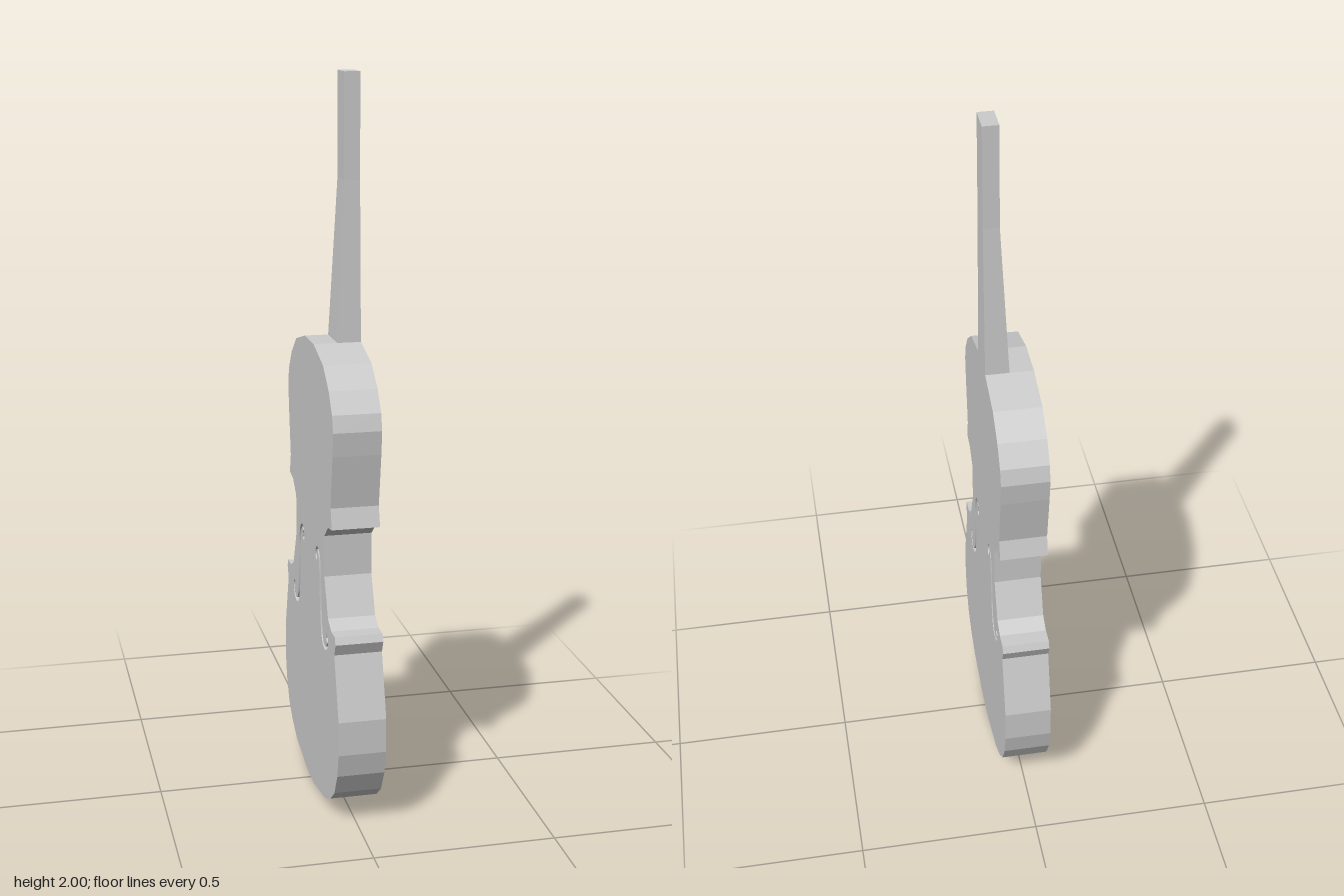
import * as THREE from 'three';

const material = new THREE.MeshStandardMaterial({ color: 0xcccccc, flatShading: true });
const HALF_DEPTH = 0.065;

// Half of the body outline as [z, y], from bottom centre to neck joint
const OUTLINE = [
  [0.055, 0.003], [0.2, 0.03], [0.267, 0.063], [0.315, 0.103], [0.35, 0.168],
  [0.365, 0.235], [0.365, 0.33], [0.313, 0.502], [0.327, 0.535], [0.318, 0.555],
  [0.275, 0.555], [0.235, 0.576], [0.19, 0.68], [0.19, 0.795], [0.235, 0.832],
  [0.282, 0.84], [0.267, 0.895], [0.29, 1.04], [0.297, 1.105], [0.285, 1.15],
  [0.245, 1.205], [0.177, 1.258], [0.057, 1.29],
];

// Sound hole centre line as [z, y, half width]
const HOLE = [
  [0.093, 0.696, 0.006], [0.086, 0.708, 0.011], [0.088, 0.725, 0.006], [0.103, 0.732, 0.004],
  [0.124, 0.717, 0.008], [0.135, 0.68, 0.011], [0.14, 0.616, 0.011], [0.148, 0.548, 0.011],
  [0.161, 0.5, 0.009], [0.182, 0.479, 0.006], [0.209, 0.481, 0.005], [0.227, 0.5, 0.006],
  [0.222, 0.516, 0.011], [0.209, 0.518, 0.008],
];

// Offsets the centre line to both sides to make one closed hole
function soundHole(side) {
  const curve = new THREE.CatmullRomCurve3(HOLE.map((p) => new THREE.Vector3(...p)));
  const left = [], right = [];
  const steps = 48;
  for (let i = 0; i <= steps; i++) {
    const p = curve.getPoint(i / steps);
    const t = curve.getTangent(i / steps);
    const k = p.z / Math.hypot(t.x, t.y);
    left.push(new THREE.Vector2(side * (p.x - t.y * k), p.y + t.x * k));
    right.push(new THREE.Vector2(side * (p.x + t.y * k), p.y - t.x * k));
  }
  return new THREE.Path([...left, ...right.reverse()]);
}

function createBody() {
  const mirrored = OUTLINE.map(([z, y]) => [-z, y]).reverse();
  const shape = new THREE.Shape([...OUTLINE, ...mirrored, [0, 0]].map((p) => new THREE.Vector2(...p)));
  shape.holes.push(soundHole(1), soundHole(-1));
  const geometry = new THREE.ExtrudeGeometry(shape, { depth: HALF_DEPTH * 2, bevelEnabled: false });
  geometry.rotateY(-Math.PI / 2).translate(HALF_DEPTH, 0, 0);
  const body = new THREE.Mesh(geometry, material);
  body.name = 'body';
  return body;
}

// Neck: a box tapered over three levels, flush with the +x face
function createNeck() {
  const levels = [
    { y: 1.29, back: 0, half: 0.057 },
    { y: 1.72, back: 0.022, half: 0.04 },
    { y: 2, back: 0.022, half: 0.038 },
  ];
  const geometry = new THREE.BoxGeometry(1, 2, 1, 1, 2, 1);
  const pos = geometry.attributes.position;
  for (let i = 0; i < pos.count; i++) {
    const level = levels[Math.round(pos.getY(i)) + 1];
    pos.setXYZ(i, pos.getX(i) > 0 ? HALF_DEPTH : level.back, level.y, Math.sign(pos.getZ(i)) * level.half);
  }
  geometry.computeVertexNormals();
  const neck = new THREE.Mesh(geometry, material);
  neck.name = 'neck';
  return neck;
}

export function createModel() {
  const group = new THREE.Group();
  group.name = 'violin';
  group.add(createBody(), createNeck());
  return group;
}
